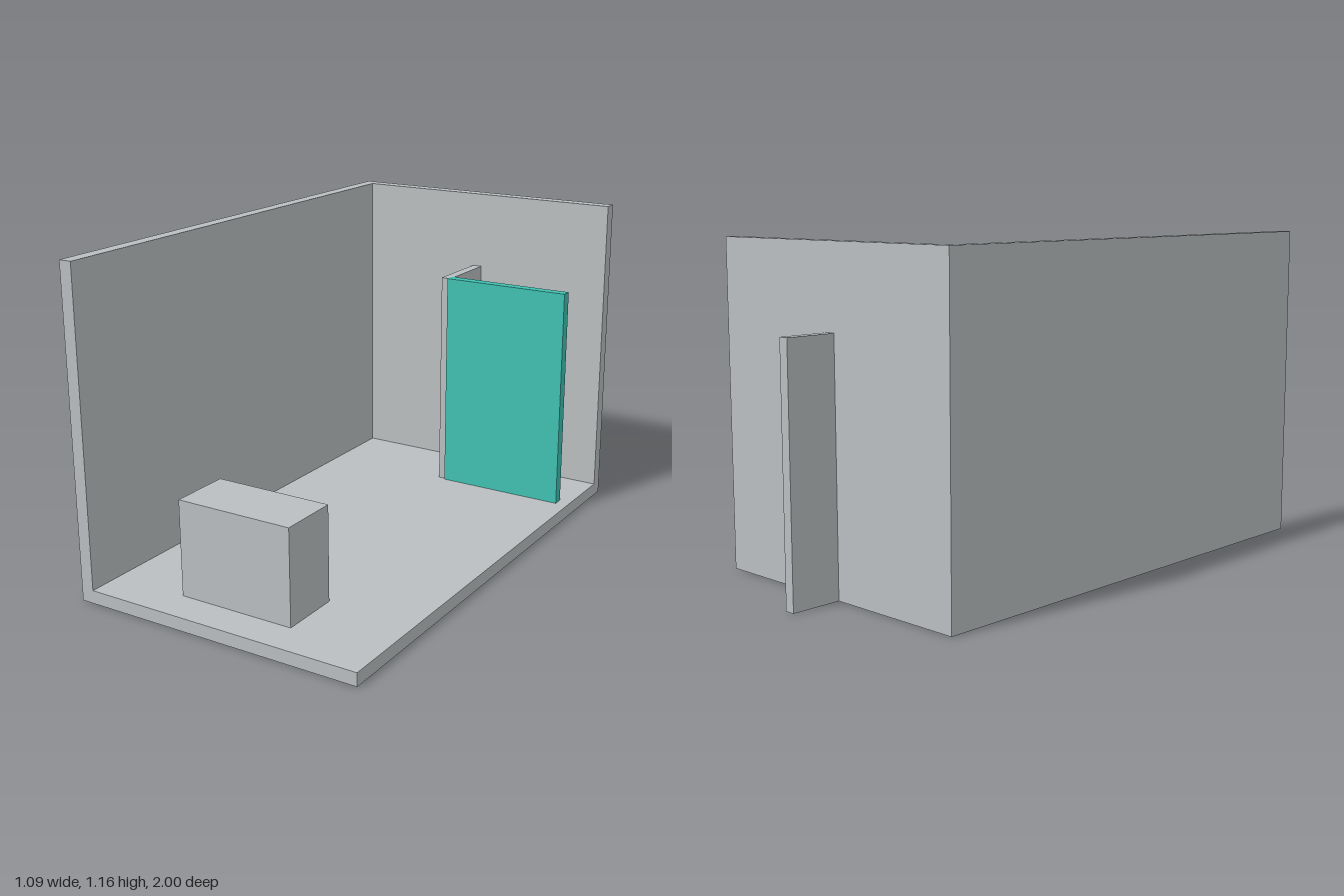
import * as THREE from 'three';

export function createModel() {
  const group = new THREE.Group();
  const grey = new THREE.MeshStandardMaterial({ color: 0xbabec0 });
  grey.name = 'light grey';
  const teal = new THREE.MeshStandardMaterial({ color: 0x40c1b3 });
  teal.name = 'teal';

  // Box given by its lower and upper corners
  function block(name, material, [x0, y0, z0], [x1, y1, z1]) {
    const mesh = new THREE.Mesh(new THREE.BoxGeometry(x1 - x0, y1 - y0, z1 - z0), material);
    mesh.position.set((x0 + x1) / 2, (y0 + y1) / 2, (z0 + z1) / 2);
    mesh.name = name;
    group.add(mesh);
  }

  // Room shell: floor, side wall and back wall
  const W = 0.544, H = 1.164, T = 0.047, back = -0.815;
  block('floor', grey, [-W, 0, back], [W, T, 1]);
  block('sideWall', grey, [-W, T, back], [-W + T, H, 1]);
  block('backWall', grey, [-W + T, T, back], [W, H, back + T]);

  // Thin partition running through the back wall
  block('partition', grey, [-0.021, 0, -1], [0.016, 0.874, -0.51]);

  // Coloured panel at the end of the partition
  block('panel', teal, [0.008, 0.002, -0.54], [0.498, 0.875, -0.502]);

  // Low counter near the open front
  block('counter', grey, [-0.218, T, 0.653], [0.216, 0.388, 0.872]);

  return group;
}
